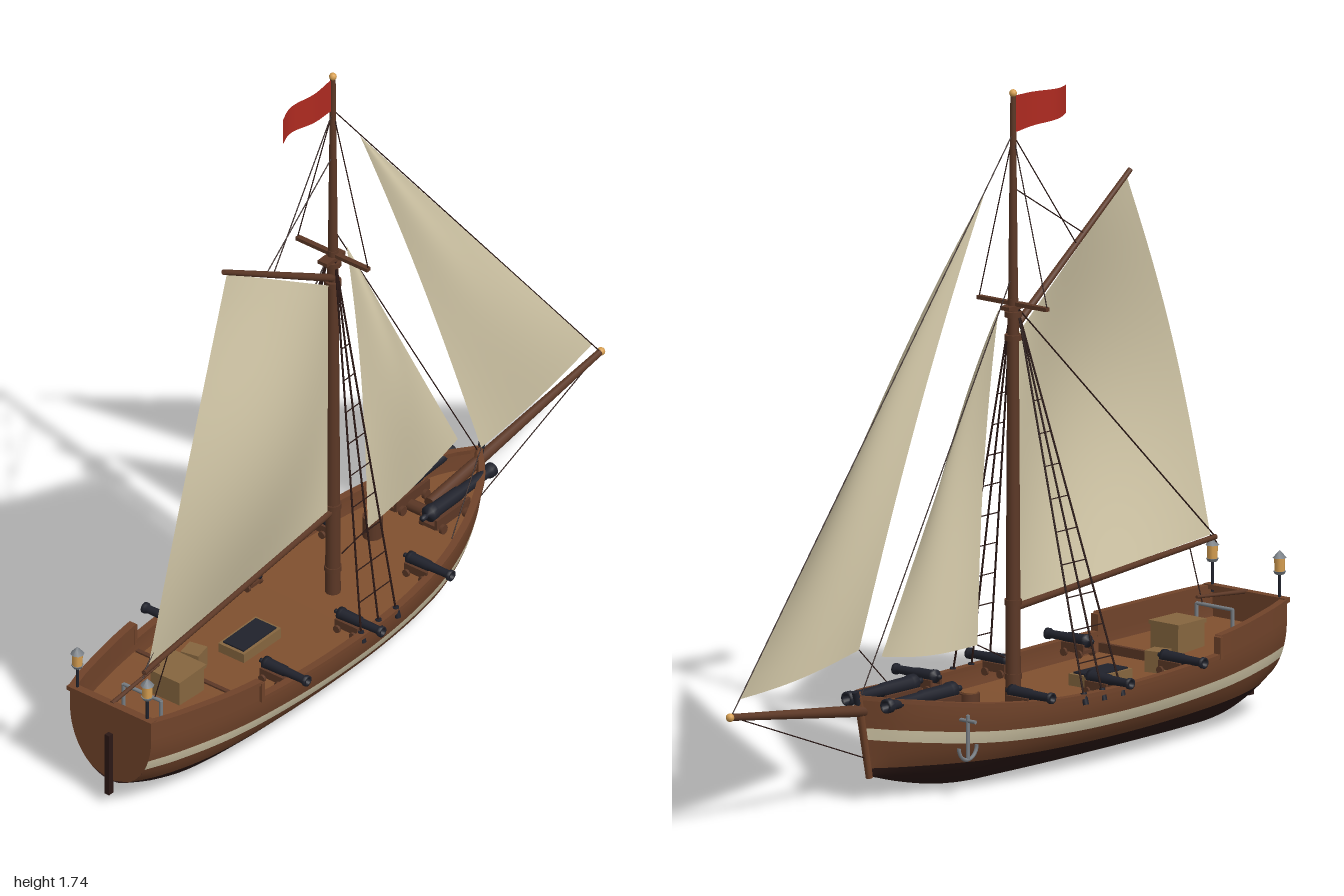
import * as THREE from 'three';

const mat = (name, color) => new THREE.MeshStandardMaterial({ name, color, side: THREE.DoubleSide });
const V = (x, y, z = 0) => new THREE.Vector3(x, y, z);
const lerp = THREE.MathUtils.lerp, clamp = THREE.MathUtils.clamp;

// Smooth curve y(x) through a few points
const curve = p => x => {
  let i = 0;
  while (i < p.length - 2 && x > p[i + 1][0]) i++;
  const slope = k => {
    const a = p[Math.max(k - 1, 0)], b = p[Math.min(k + 1, p.length - 1)];
    return (b[1] - a[1]) / (b[0] - a[0]);
  };
  const h = p[i + 1][0] - p[i][0], t = clamp((x - p[i][0]) / h, 0, 1), t2 = t * t, t3 = t2 * t;
  return (2 * t3 - 3 * t2 + 1) * p[i][1] + (t3 - 2 * t2 + t) * h * slope(i)
    + (3 * t2 - 2 * t3) * p[i + 1][1] + (t3 - t2) * h * slope(i + 1);
};

// Hull lines along the length
const STERN = -0.985, BOW = 0.5, STEP = -0.64;
const beam = curve([[STERN, .13], [-.9, .157], [-.7, .2], [-.5, .221], [-.3, .227], [-.1, .221], [.1, .197], [.25, .157], [.36, .11], [.44, .062], [BOW, 0]]);
const keel = curve([[STERN, .065], [-.9, .03], [-.8, .005], [-.65, 0], [-.5, 0], [.05, 0], [.15, 0], [.25, .01], [.38, .035], [BOW, .065]]);
const sheer = curve([[STERN, .24], [STEP, .215], [-.1, .203], [.2, .225], [BOW, .27]]);
const water = curve([[STERN, .085], [-.3, .07], [BOW, .085]]);
const stripe = curve([[STERN, .143], [-.64, .123], [-.25, .112], [.15, .125], [BOW, .162]]);
const quarter = x => sheer(x) + .048;
const deckY = x => sheer(x) - .045;

function hullPoint(x, y, side, inset = 0) {
  const f = clamp((y - keel(x)) / (sheer(x) - keel(x)), 0, 1);
  const z = Math.max(0, beam(x) - inset) * Math.sqrt(1 - (1 - f) ** 2);
  const rake = clamp((x - .1) / .4, 0, 1) ** 2 * .2;
  return V(x + rake * (y - .26), y, side * z);
}

export function createModel() {
  const M = {
    hull: mat('hull wood', 0x70432a), bottom: mat('dark bottom and rope', 0x2b1815), sail: mat('canvas', 0xd3c8a8),
    deck: mat('deck planks', 0x80502f), spar: mat('spar wood', 0x5c3826), iron: mat('gun iron', 0x20222c),
    flag: mat('red flag', 0xae2a20), crate: mat('pale wood', 0x86663f), gold: mat('gold', 0xd8a052), grey: mat('grey metal', 0x787e84)
  };
  const model = new THREE.Group();
  model.name = 'sailingShip';
  const add = (name, geo, m, pos, parent = model) => {
    const mesh = new THREE.Mesh(geo, m);
    mesh.name = name;
    if (pos) mesh.position.copy(pos);
    parent.add(mesh);
    return mesh;
  };
  const box = (name, m, x, y, z, w, h, d, parent) => add(name, new THREE.BoxGeometry(w, h, d), m, V(x, y, z), parent);
  // Tapered round bar between two points
  const rod = (name, m, a, b, r1, r2 = r1, sides = 10) => {
    const d = b.clone().sub(a);
    const mesh = add(name, new THREE.CylinderGeometry(r2, r1, d.length(), sides), m, a.clone().add(b).multiplyScalar(.5));
    mesh.quaternion.setFromUnitVectors(V(0, 1, 0), d.normalize());
    return mesh;
  };
  const rope = (name, a, b, r = .0016) => rod(name, M.bottom, a, b, r, r, 5);
  // Surface from a grid of points fn(u, v)
  const grid = (name, m, nu, nv, fn, flat = false) => {
    const pos = [], idx = [];
    for (let i = 0; i <= nu; i++) for (let j = 0; j <= nv; j++) {
      pos.push(...fn(i / nu, j / nv).toArray());
      if (i < nu && j < nv) {
        const a = i * (nv + 1) + j, b = a + nv + 1;
        idx.push(a, b, a + 1, b, b + 1, a + 1);
      }
    }
    let g = new THREE.BufferGeometry();
    g.setAttribute('position', new THREE.Float32BufferAttribute(pos, 3));
    g.setIndex(idx);
    if (flat) g = g.toNonIndexed();
    g.computeVertexNormals();
    return add(name, g, m);
  };

  // Hull planking in painted bands
  grid('hullBottom', M.bottom, 56, 24, (u, v) => {
    const x = lerp(STERN, BOW, u), t = 2 * v - 1;
    return hullPoint(x, lerp(keel(x), water(x), t * t), Math.sign(t));
  });
  const band = (name, m, lo, hi, s, x0 = STERN, x1 = BOW, inset = 0) => grid(name, m, 56, 4, (u, v) => {
    const x = lerp(x0, x1, u);
    return hullPoint(x, lerp(lo(x), hi(x), v), s, inset);
  });
  const rail = (name, top, s, x0, x1) => {
    const section = [[.016, -.002], [-.005, -.002], [-.005, .009], [.016, .009], [.016, -.002]];
    grid(name, M.hull, 48, 4, (u, v) => {
      const x = lerp(x0, x1, u), [inset, dy] = section[Math.round(v * 4)];
      const p = hullPoint(x, top(x), s, inset);
      p.y += dy;
      return p;
    }, true);
  };
  for (const s of [1, -1]) {
    band('lowerPlanks', M.hull, water, stripe, s);
    band('hullStripe', M.sail, stripe, x => stripe(x) + .031, s);
    band('upperPlanks', M.hull, x => stripe(x) + .031, sheer, s);
    band('quarterPlanks', M.hull, sheer, quarter, s, STERN, STEP);
    band('innerBulwark', M.hull, deckY, sheer, s, STERN, BOW, .013);
    band('innerQuarter', M.hull, sheer, quarter, s, STERN, STEP, .013);
    rail('gunwale', sheer, s, STEP, BOW);
    rail('quarterRail', quarter, s, STERN, STEP);
    box('quarterEnd', M.hull, STEP, .239, s * .204, .012, .056, .022);
  }
  grid('transom', M.hull, 12, 12, (u, v) => {
    const p = hullPoint(STERN, lerp(keel(STERN), quarter(STERN), v), 1);
    p.z *= 2 * u - 1;
    return p;
  });
  box('sternRail', M.hull, STERN + .004, .293, 0, .022, .012, .27);
  const deck = (name, x0, x1, dy) => grid(name, M.deck, 40, 2, (u, v) => {
    const x = lerp(x0, x1, u), p = hullPoint(x, deckY(x) + dy, 1, .012);
    p.z *= 2 * v - 1;
    return p;
  });
  deck('mainDeck', STERN, BOW, 0);
  deck('quarterDeck', STERN, STEP, .02);
  box('deckStep', M.spar, STEP, .183, 0, .012, .024, .38);
  rod('stem', M.hull, V(.458, .06), V(.5, .275), .009, .011, 8);
  rod('stemHead', M.iron, V(.497, .245), V(.512, .29), .009, .009, 8);
  box('rudder', M.bottom, -.991, .12, 0, .018, .18, .014);
  rod('tiller', M.spar, V(-.98, .297), V(-.79, .314), .006, .004);

  // Mast, spars and flag
  rod('lowerMast', M.spar, V(-.09, .15), V(-.09, 1.2), .02, .014, 16);
  rod('topMast', M.spar, V(-.09, 1.18), V(-.09, 1.725), .013, .007, 12);
  add('mastBall', new THREE.SphereGeometry(.01, 12, 8), M.gold, V(-.09, 1.727));
  for (const y of [.23, .42, 1.1, 1.16]) add('mastBand', new THREE.CylinderGeometry(.022, .022, .014, 16), M.spar, V(-.09, y));
  box('crosstree', M.spar, -.09, 1.187, 0, .014, .01, .23);
  box('trestletree', M.spar, -.095, 1.178, 0, .075, .01, .03);
  const gaffEnd = V(-.605, 1.435, .06), boomEnd = V(-.97, .425, .095);
  rod('gaff', M.spar, V(-.1, 1.12, .005), gaffEnd, .01, .007);
  rod('boom', M.spar, V(-.1, .405, 0), boomEnd, .01, .007);
  rod('bowsprit', M.spar, V(.3, .212), V(.985, .304), .018, .009, 12);
  add('bowspritTip', new THREE.SphereGeometry(.011, 12, 8), M.gold, V(.989, .304));
  grid('flag', M.flag, 20, 4, (u, v) => V(-.098 - .205 * u,
    lerp(1.625, 1.72, v) + u * lerp(.014, -.008, v), .014 * Math.sin(u * 7) * u));

  // Sails
  const throat = V(-.115, 1.105, .005), peak = V(-.59, 1.42, .058), clew = V(-.945, .435, .09), tack = V(-.115, .412, .002);
  grid('mainSail', M.sail, 24, 24, (u, v) => {
    const p = throat.clone().lerp(peak, u).lerp(tack.clone().lerp(clew, u), v);
    const belly = Math.sin(Math.PI * v);
    p.x -= .068 * u * belly;
    p.y += .022 * u * belly;
    p.z += belly * (.06 * Math.sin(Math.PI * u) + .045 * u);
    return p;
  });
  const jib = (name, head, foreFoot, aftFoot, bulge) => grid(name, M.sail, 20, 24, (u, v) => {
    const p = head.clone().lerp(aftFoot.clone().lerp(foreFoot, u), v);
    p.z += bulge * Math.sin(Math.PI * Math.pow(v, .9)) * (Math.sin(Math.PI * u) + .35 * (1 - u));
    p.y -= .012 * Math.sin(Math.PI * u) * v ** 4;
    return p;
  });
  jib('staySail', V(-.035, 1.18), V(.4, .36, .01), V(0, .318, .04), .045);
  jib('outerJib', V(.02, 1.485), V(.955, .345), V(.4, .366, .085), .05);

  // Standing and running rigging
  rope('foreStay', V(-.09, 1.625), V(.98, .312));
  rope('innerStay', V(-.09, 1.265), V(.49, .275));
  rope('bobStay', V(.97, .3), V(.465, .11));
  rope('peakHalyard', V(-.09, 1.62), V(-.365, 1.29, .03));
  rope('gaffSpan', V(-.09, 1.485), V(-.4, 1.31, .035));
  rope('toppingLift', V(-.09, 1.18, -.012), boomEnd, .002);
  rope('mainSheet', V(-.86, .42, .085), V(-.87, .275, .05));
  rope('jibSheet', V(.4, .366, .085), V(.2, .225, .15));
  rope('staySheet', V(0, .318, .04), V(-.08, .275, .02));
  rope('clewLine', clew, V(-.975, .41, .095));
  for (const s of [1, -1]) {
    const shroudAt = (x, t) => V(x, .205, s * .218).lerp(V(-.095, 1.17, s * .012), t);
    for (const x of [-.25, -.18, -.11]) {
      rope('shroud', shroudAt(x, 0), shroudAt(x, 1), .0028);
      rod('deadeye', M.iron, V(x, .185, s * .225), V(x, .215, s * .217), .008);
    }
    for (let i = 1; i <= 9; i++) rope('ratline', shroudAt(-.25, i * .085), shroudAt(-.11, i * .085));
    rope('topShroud', V(-.09, 1.19, s * .113), V(-.09, 1.6, s * .006));
  }

  // Guns on wheeled carriages, muzzle towards local +x
  const gun = (name, x, y, z, turn, length, r) => {
    const g = new THREE.Group();
    g.name = name;
    const profile = [[0, -.06], [.35, -.05], [.35, 0], [.2, .03], [1, .05], [1, .12], [.88, .13], [.82, .5], [.7, .52], [.62, .9], [.85, .94], [.85, 1], [.5, 1], [.45, .94], [0, .94]];
    const barrel = add('barrel', new THREE.LatheGeometry(profile.map(([a, b]) => new THREE.Vector2(a * r, b * length)), 16), M.iron, V(-length / 2, 0, 0), g);
    barrel.rotation.z = -Math.PI / 2;
    for (const s of [1, -1]) {
      box('carriageCheek', M.spar, -length * .2, -r * 1.1, s * r * 1.05, length * .5, r * 1.3, r * .4, g);
      for (const wx of [-.38, -.03]) {
        const wheel = add('wheel', new THREE.CylinderGeometry(r * .6, r * .6, r * .4, 12), M.spar, V(wx * length, -r * 1.9, s * r * 1.45), g);
        wheel.rotation.x = Math.PI / 2;
      }
    }
    box('carriageBed', M.spar, -length * .2, -r * 1.6, 0, length * .5, r * .5, r * 2, g);
    g.position.set(x, y, z);
    g.rotation.y = turn;
    model.add(g);
  };
  for (const s of [1, -1]) {
    [[-.52, .228], [-.23, .225], [.06, .235]].forEach(([x, y], i) => gun('broadsideGun', x, y, s * (i === 1 ? .199 : .19), -s * Math.PI / 2, .145, .017));
    gun('bowGun', .335, .255, s * .065, 0, .27, .022);
  }

  // Deck fittings
  box('cabinChest', M.crate, -.72, .225, .003, .1, .07, .092);
  box('chestLid', M.crate, -.72, .264, .003, .108, .01, .1);
  box('stool', M.crate, -.58, .195, -.055, .05, .055, .05).rotation.y = .2;
  box('hatchFrame', M.crate, -.41, .175, -.012, .15, .03, .082);
  box('hatchGrate', M.iron, -.41, .19, -.012, .132, .008, .066);
  add('barrelCask', new THREE.CylinderGeometry(.026, .026, .06, 16), M.spar, V(.145, .205, -.06));
  add('caskTop', new THREE.CylinderGeometry(.021, .021, .004, 16), M.deck, V(.145, .236, -.06));
  rod('windlass', M.spar, V(.27, .21, -.04), V(.27, .21, .04), .016);
  const horse = [V(-.87, .2, -.05), V(-.87, .275, -.05), V(-.87, .275, .07), V(-.87, .2, .07)];
  for (let i = 0; i < 3; i++) rod('sheetHorse', M.grey, horse[i], horse[i + 1], .005);

  // Stern lanterns
  for (const s of [1, -1]) {
    const z = s * .112, x = -.978;
    rod('lanternPost', M.iron, V(x, .28, z), V(x, .362, z), .004);
    add('lanternBase', new THREE.CylinderGeometry(.016, .012, .008, 8), M.grey, V(x, .362, z));
    add('lanternGlass', new THREE.CylinderGeometry(.014, .013, .036, 8), M.gold, V(x, .383, z));
    add('lanternCap', new THREE.ConeGeometry(.018, .02, 8), M.grey, V(x, .41, z));
  }

  // Anchor hung on the right bow
  const az = -.168, ax = .275;
  rod('anchorShank', M.grey, V(ax, .1, az), V(ax, .215, az), .005);
  rod('anchorStock', M.grey, V(ax, .2, az - .026), V(ax, .2, az + .026), .005);
  const arms = add('anchorArms', new THREE.TorusGeometry(.034, .005, 6, 14, Math.PI), M.grey, V(ax, .134, az));
  arms.rotation.z = Math.PI;
  return model;
}
